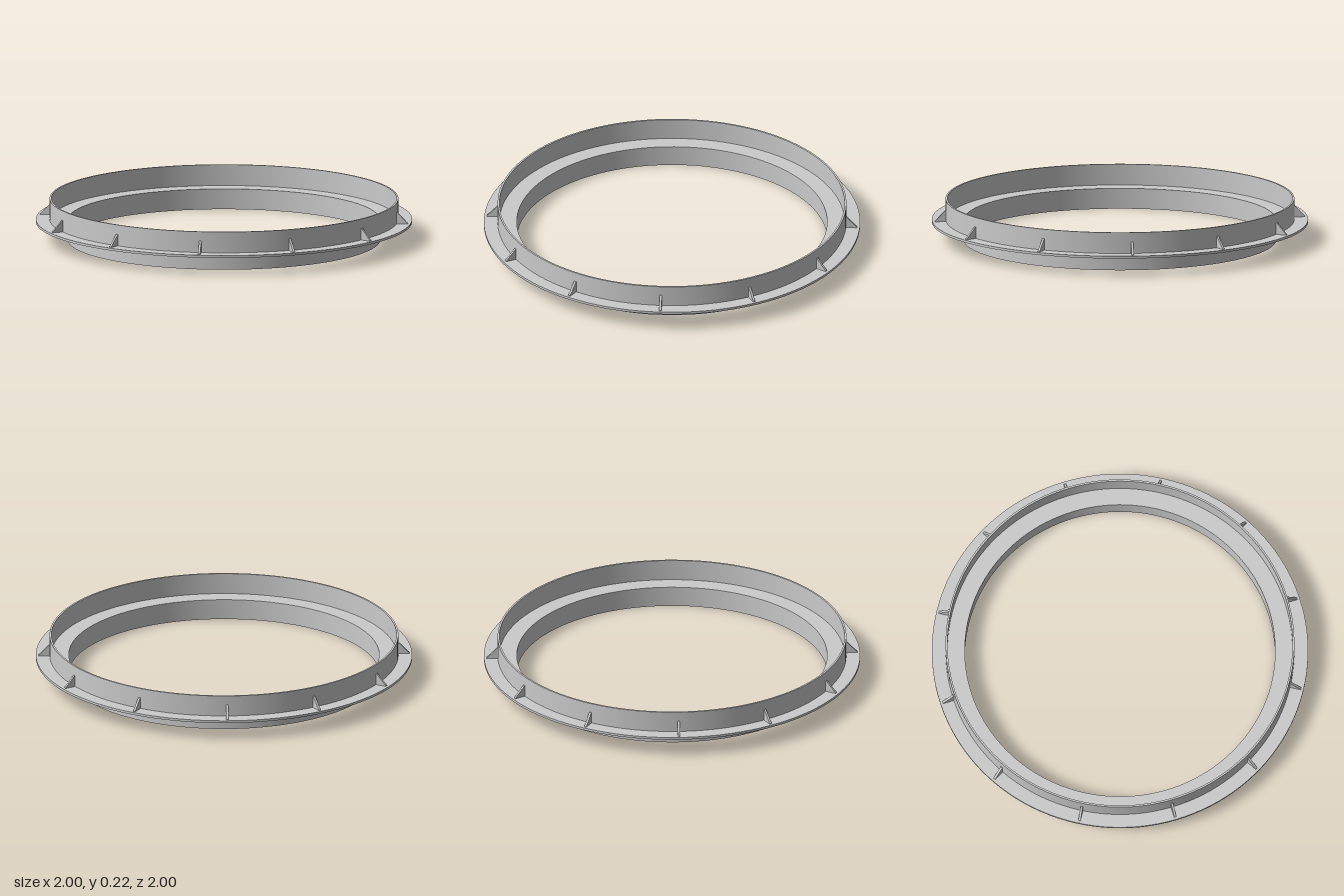
import * as THREE from 'three';
import { toCreasedNormals } from 'three/addons/utils/BufferGeometryUtils.js';

const SEGMENTS = 128;

export function createModel() {
  const model = new THREE.Group();
  model.name = 'flangedRing';
  const material = new THREE.MeshStandardMaterial({ color: 0xcccccc });

  const add = (name, geometry, parent = model) => {
    const mesh = new THREE.Mesh(geometry, material);
    mesh.name = name;
    parent.add(mesh);
    return mesh;
  };

  // Rectangular section revolved about the vertical axis
  const ring = (name, inner, outer, bottom, top) => {
    const profile = [
      [inner, bottom], [outer, bottom], [outer, top], [inner, top], [inner, bottom],
    ].map(([r, y]) => new THREE.Vector2(r, y));
    add(name, toCreasedNormals(new THREE.LatheGeometry(profile, SEGMENTS), 0.6));
  };

  ring('lowerCollar', 0.825, 0.832, 0, 0.105);
  ring('flange', 0.825, 1, 0.097, 0.11);
  ring('upperWall', 0.917, 0.927, 0.105, 0.223);

  // Triangular gussets bracing the upper wall on the flange
  const thickness = 0.012;
  const outline = new THREE.Shape([
    new THREE.Vector2(0.922, 0.108),
    new THREE.Vector2(0.986, 0.108),
    new THREE.Vector2(0.986, 0.113),
    new THREE.Vector2(0.93, 0.172),
    new THREE.Vector2(0.922, 0.172),
  ]);
  const gussetGeometry = new THREE.ExtrudeGeometry(outline, { depth: thickness, bevelEnabled: false });
  gussetGeometry.translate(0, 0, -thickness / 2);

  const gussets = new THREE.Group();
  gussets.name = 'gussets';
  model.add(gussets);
  for (let i = 0; i < 12; i++) {
    add('gusset', gussetGeometry, gussets).rotation.y = (i * Math.PI) / 6;
  }

  return model;
}
